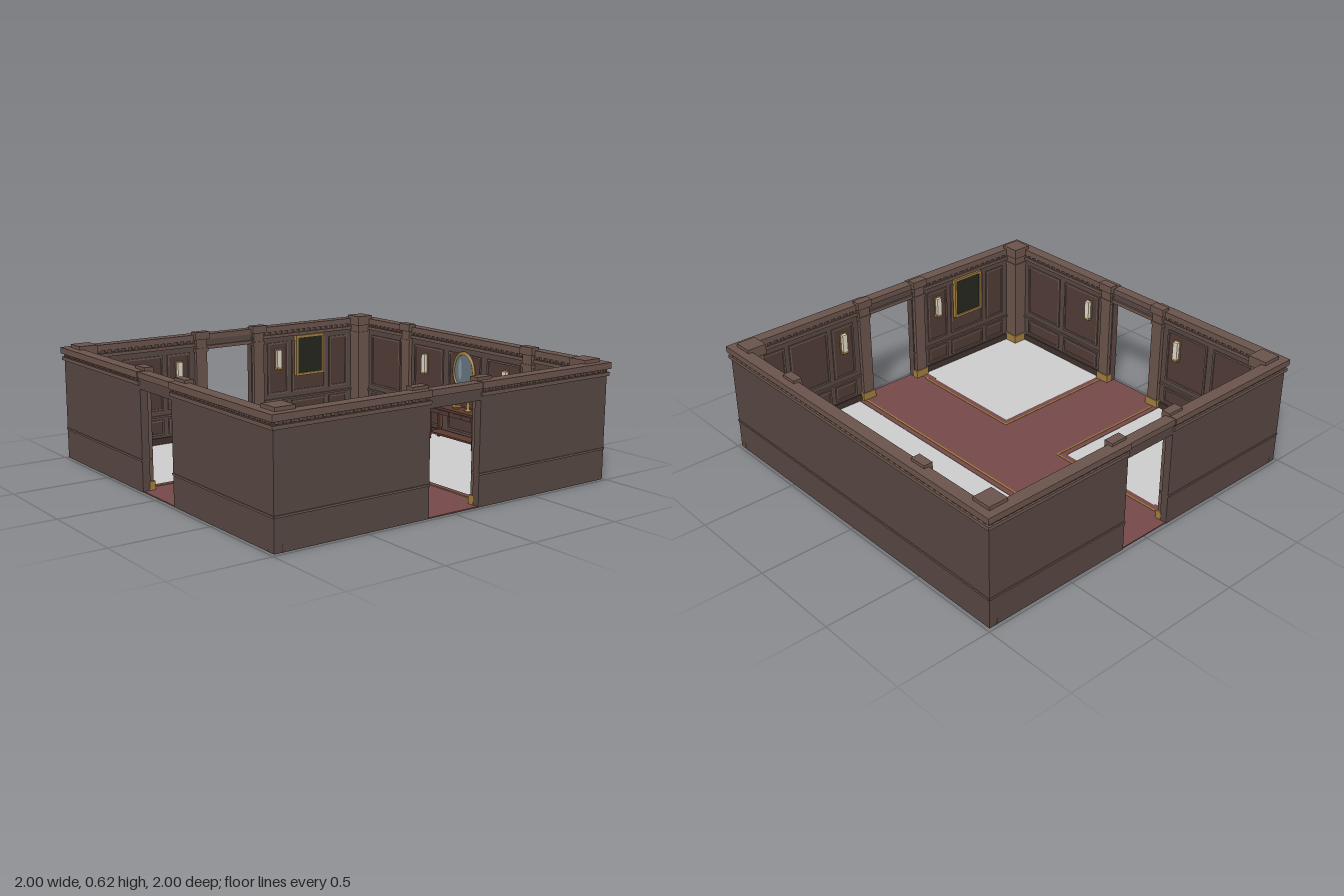
import * as THREE from 'three';

const mat = (color, extra = {}) => new THREE.MeshStandardMaterial({ color, ...extra });
const M = {
  wall: mat(0x574742), panel: mat(0x4f3b36), trim: mat(0x69534b), dark: mat(0x40312d),
  grey: mat(0xcccccc), carpet: mat(0x744848), gold: mat(0xa07c3c), wood: mat(0x5a3a30),
  glass: mat(0x66747f), shine: mat(0x8796a0), canvas: mat(0x25261f), shade: mat(0xe0d6c4),
  leafA: mat(0x2f6b38, { flatShading: true, side: THREE.DoubleSide }),
  leafB: mat(0x1f4a28, { flatShading: true, side: THREE.DoubleSide }),
};

function add(parent, name, geo, material, x = 0, y = 0, z = 0) {
  const m = new THREE.Mesh(geo, material);
  m.name = name;
  m.position.set(x, y, z);
  parent.add(m);
  return m;
}

// Box given by its extents along each axis
function box(parent, name, [x0, x1], [y0, y1], [z0, z1], material) {
  return add(parent, name, new THREE.BoxGeometry(x1 - x0, y1 - y0, z1 - z0), material,
    (x0 + x1) / 2, (y0 + y1) / 2, (z0 + z1) / 2);
}

function group(parent, name, x = 0, y = 0, z = 0) {
  const g = new THREE.Group();
  g.name = name;
  g.position.set(x, y, z);
  parent.add(g);
  return g;
}

// Rectangular moulding frame on the inner wall face
function frame(parent, name, [x0, x1], [y0, y1], [z0, z1], t, material) {
  const g = group(parent, name);
  for (const y of [y0, y1 - t]) box(g, name + 'Rail', [x0, x1], [y, y + t], [z0, z1], material);
  for (const x of [x0, x1 - t]) box(g, name + 'Stile', [x, x + t], [y0 + t, y1 - t], [z0, z1], material);
}

function pilaster(parent, c) {
  const g = group(parent, 'pilaster', c);
  box(g, 'pilasterBase', [-0.042, 0.042], [0.002, 0.05], [-0.95, -0.918], M.gold);
  box(g, 'pilasterShaft', [-0.034, 0.034], [0.05, 0.58], [-0.95, -0.924], M.trim);
  box(g, 'pilasterCollar', [-0.04, 0.04], [0.5, 0.52], [-0.95, -0.92], M.trim);
  box(g, 'pilasterCap', [-0.045, 0.045], [0.57, 0.612], [-0.962, -0.914], M.trim);
}

function sconce(parent, x) {
  const g = group(parent, 'sconce', x, 0.4, -0.945);
  box(g, 'sconcePlate', [-0.02, 0.02], [-0.06, 0.06], [0, 0.008], M.gold);
  box(g, 'sconceShade', [-0.015, 0.015], [-0.045, 0.055], [0.008, 0.026], M.shade);
  box(g, 'sconceFoot', [-0.018, 0.018], [-0.058, -0.045], [0.008, 0.026], M.gold);
}

// One wall built as the back wall, then turned into place
function wall(parent, name, angle, { door, panels, sconces, pilasters, painting }) {
  const g = group(parent, name);
  g.rotation.y = angle;
  const runs = door ? [[-0.985, -0.15], [0.15, 0.985]] : [[-0.985, 0.985]];
  for (const [a, b] of runs) {
    const oa = a < -0.9 ? a - 0.01 : a, ob = b > 0.9 ? b + 0.01 : b;
    box(g, 'wallBody', [a, b], [0.002, 0.58], [-0.985, -0.945], M.wall);
    box(g, 'chairRail', [a, b], [0.156, 0.166], [-0.99, -0.935], M.trim);
    box(g, 'skirting', [a, b], [0.002, 0.04], [-0.95, -0.936], M.dark);
    box(g, 'lowerMoulding', [oa, ob], [0.53, 0.548], [-0.995, -0.936], M.trim);
    box(g, 'cornice', [a < -0.9 ? -1 : a, b > 0.9 ? 1 : b], [0.565, 0.597], [-1, -0.935], M.trim);
    for (let x = a + 0.02; x < b - 0.01; x += 0.04)
      box(g, 'dentil', [x - 0.008, x + 0.008], [0.552, 0.565], [-0.991, -0.937], M.trim);
  }
  if (door) {
    box(g, 'doorLintel', [-0.15, 0.15], [0.51, 0.58], [-0.985, -0.945], M.wall);
    box(g, 'doorCornice', [-0.15, 0.15], [0.565, 0.595], [-0.995, -0.938], M.trim);
    box(g, 'doorHeadTrim', [-0.15, 0.15], [0.51, 0.53], [-0.945, -0.934], M.trim);
  }
  // Raised panels above and below the chair rail
  for (const [a, b] of panels) {
    for (const [lo, hi] of [[0.195, 0.5], [0.055, 0.142]]) {
      box(g, 'panelField', [a, b], [lo, hi], [-0.95, -0.943], M.panel);
      frame(g, 'panelFrame', [a, b], [lo, hi], [-0.945, -0.937], 0.01, M.trim);
    }
  }
  pilasters.forEach(c => pilaster(g, c));
  sconces.forEach(x => sconce(g, x));
  if (painting) {
    box(g, 'paintingCanvas', [0.46, 0.64], [0.3, 0.52], [-0.945, -0.93], M.canvas);
    frame(g, 'paintingFrame', [0.45, 0.65], [0.29, 0.53], [-0.945, -0.922], 0.014, M.gold);
  }
}

// Folded, pointed leaf that arcs outwards along +x
function leafGeometry(length, rise, droop, width) {
  const pos = [], idx = [], n = 4;
  for (let i = 0; i <= n; i++) {
    const t = i / n, w = width * Math.sin(Math.PI * (0.12 + 0.88 * t));
    const x = length * t, y = rise * t - droop * t * t;
    pos.push(x, y + w * 0.4, -w, x, y, 0, x, y + w * 0.4, w);
    if (i) for (const k of [0, 1]) {
      const a = (i - 1) * 3 + k, b = a + 3;
      idx.push(a, a + 1, b, a + 1, b + 1, b);
    }
  }
  const geo = new THREE.BufferGeometry();
  geo.setAttribute('position', new THREE.Float32BufferAttribute(pos, 3));
  geo.setIndex(idx);
  geo.computeVertexNormals();
  return geo;
}

function plant(parent, x, y, z, s) {
  const g = group(parent, 'pottedPlant', x, y, z);
  g.scale.setScalar(s);
  const pot = [[0, 0], [0.035, 0], [0.05, 0.1], [0.054, 0.1], [0.054, 0.115], [0.045, 0.115], [0.043, 0.105], [0, 0.105]];
  add(g, 'pot', new THREE.LatheGeometry(pot.map(p => new THREE.Vector2(...p)), 14), M.wood);
  const rings = [[7, 0.108, 0.13, 0.14, 0.024], [6, 0.08, 0.15, 0.07, 0.02], [4, 0.04, 0.15, 0.01, 0.015]];
  rings.forEach(([n, len, rise, droop, w], r) => {
    for (let i = 0; i < n; i++) {
      const leaf = add(g, 'leaf', leafGeometry(len * (1 - 0.12 * (i % 3)), rise, droop, w),
        (i + r) % 2 ? M.leafA : M.leafB, 0, 0.105, 0);
      leaf.rotation.y = (i / n) * Math.PI * 2 + r * 0.5;
    }
  });
}

function consoleTable(parent) {
  const g = group(parent, 'consoleTable');
  box(g, 'tableTop', [-0.205, 0.205], [0.187, 0.2], [-0.937, -0.835], M.wood);
  box(g, 'tableApron', [-0.19, 0.19], [0.158, 0.187], [-0.93, -0.845], M.wood);
  box(g, 'tableShelf', [-0.185, 0.185], [0.035, 0.045], [-0.93, -0.848], M.wood);
  for (const x of [-0.185, 0.185]) for (const z of [-0.925, -0.85])
    box(g, 'tableLeg', [x - 0.009, x + 0.009], [0.004, 0.187], [z - 0.009, z + 0.009], M.wood);
  for (const x of [-0.09, 0.09]) {
    box(g, 'drawerFront', [x - 0.075, x + 0.075], [0.162, 0.183], [-0.846, -0.842], M.panel);
    add(g, 'drawerKnob', new THREE.SphereGeometry(0.005, 10, 8), M.gold, x, 0.173, -0.839);
  }
  // Items on top: lamp, bowl and small plant
  const lamp = [[0, 0], [0.02, 0], [0.02, 0.006], [0.007, 0.012], [0.012, 0.03], [0.005, 0.05], [0.004, 0.075], [0, 0.075]];
  add(g, 'lampBase', new THREE.LatheGeometry(lamp.map(p => new THREE.Vector2(...p)), 16), M.gold, 0.085, 0.2, -0.895);
  add(g, 'lampShade', new THREE.CylinderGeometry(0.021, 0.031, 0.06, 20), M.shade, 0.085, 0.295, -0.895);
  add(g, 'bowl', new THREE.CylinderGeometry(0.03, 0.018, 0.014, 20), M.gold, -0.005, 0.207, -0.893);
  plant(g, -0.115, 0.2, -0.893, 0.27);
}

function mirror(parent) {
  const g = group(parent, 'mirror', 0, 0.403, -0.935);
  const rim = add(g, 'mirrorRim', new THREE.TorusGeometry(0.08, 0.008, 8, 40), M.gold);
  rim.scale.set(1, 1.28, 1);
  const disc = new THREE.CircleGeometry(0.08, 40);
  add(g, 'mirrorGlass', disc, M.glass, 0, 0, 0.002).scale.y = 1.28;
  add(g, 'mirrorShine', disc, M.shine, -0.026, 0.01, 0.004).scale.set(0.17, 0.72, 1);
}

export function createModel() {
  const room = new THREE.Group();
  room.name = 'room';

  // Floor in three fields with a T-shaped carpet between them
  box(room, 'backFloor', [-0.98, 0.98], [0, 0.004], [-0.98, -0.25], M.grey);
  box(room, 'carpetAcross', [-0.98, 0.98], [0, 0.006], [-0.25, 0.22], M.carpet);
  box(room, 'carpetToDoor', [-0.235, 0.235], [0, 0.006], [0.22, 0.98], M.carpet);
  box(room, 'carpetBackStripe', [-0.935, 0.935], [0.005, 0.008], [-0.221, -0.211], M.gold);
  for (const s of [-1, 1]) {
    const span = (a, b) => (s < 0 ? [-b, -a] : [a, b]);
    box(room, 'frontFloor', span(0.235, 0.98), [0, 0.004], [0.22, 0.98], M.grey);
    box(room, 'carpetFrontStripe', span(0.197, 0.88), [0.005, 0.008], [0.181, 0.19], M.gold);
    box(room, 'carpetStripeEnd', span(0.872, 0.935), [0.005, 0.008], [0.19, 0.199], M.gold);
    box(room, 'carpetSideStripe', span(0.197, 0.206), [0.005, 0.008], [0.19, 0.935], M.gold);
    box(room, 'carpetCorner', span(0.845, 0.94), [0.002, 0.006], [0.22, 0.23], M.carpet);

    // Corner columns
    for (const z of [-1, 1]) {
      const c = group(room, 'cornerColumn', s * 0.907, 0, z * 0.907);
      const tier = (name, r, y, m) => box(c, name, [-r, r], y, [-r, r], m);
      tier('columnBase', 0.05, [0.002, 0.05], M.gold);
      tier('columnShaft', 0.042, [0.05, 0.57], M.trim);
      tier('columnCollar', 0.047, [0.5, 0.52], M.trim);
      tier('columnCap', 0.052, [0.56, 0.615], M.trim);
    }
  }

  // Four walls
  const mirrored = list => list.flatMap(([a, b]) => [[-b, -a], [a, b]]);
  const sconces = [-0.33, 0.33], doorPosts = [-0.19, 0.19];
  const side = { door: true, sconces, pilasters: doorPosts, painting: true,
    panels: mirrored([[0.26, 0.4], [0.43, 0.67], [0.7, 0.83]]) };
  wall(room, 'backWall', 0, { sconces, pilasters: [-0.495, 0.495],
    panels: [[-0.13, 0.13], ...mirrored([[0.18, 0.43], [0.565, 0.83]])] });
  wall(room, 'frontWall', Math.PI, { door: true, sconces, pilasters: doorPosts,
    panels: mirrored([[0.26, 0.53], [0.57, 0.83]]) });
  wall(room, 'rightWall', Math.PI / 2, side);
  wall(room, 'leftWall', -Math.PI / 2, side);

  // Furnishings
  consoleTable(room);
  mirror(room);
  plant(room, 0.4, 0.004, -0.86, 1);
  plant(room, -0.855, 0.004, 0.645, 1);
  return room;
}
